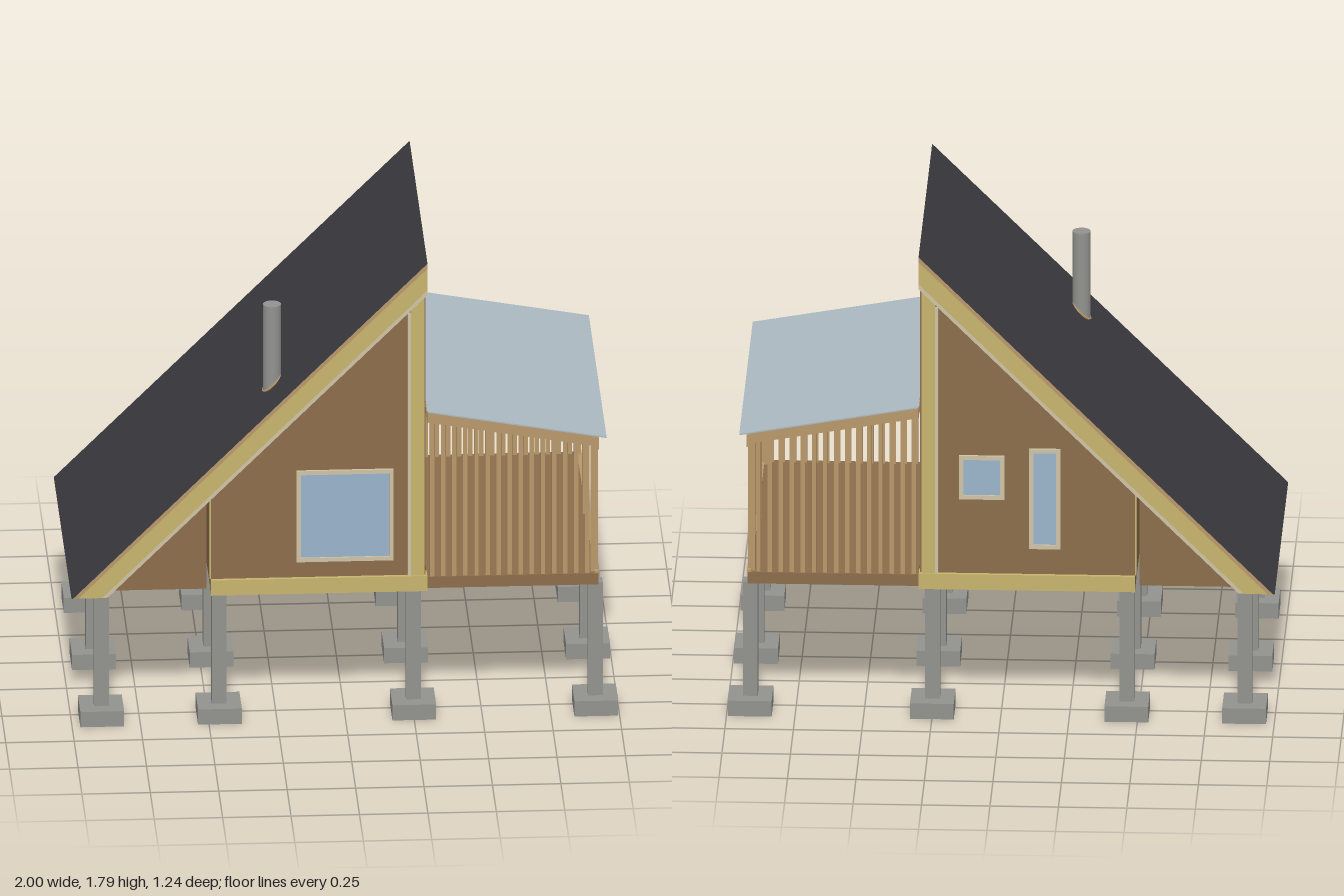
import * as THREE from 'three';

const mat = (name, color, side = THREE.FrontSide) => {
  const m = new THREE.MeshStandardMaterial({ color, side });
  m.name = name;
  return m;
};

export function createModel() {
  const house = new THREE.Group();
  house.name = 'stiltCabin';

  const cladding = mat('brown cladding', 0x8c6d4a);
  const timber = mat('yellow timber', 0xc8b46e);
  const wood = mat('tan wood', 0xb9986a);
  const concrete = mat('grey concrete', 0x92938f);
  const glass = mat('blue glass', 0x9ab5cc);
  const frame = mat('beige frame', 0xd0c4a6);
  const roofing = mat('dark roofing', 0x3b3a3f);
  const sheet = mat('pale roof sheet', 0xadbac1);

  const add = (name, geo, material, x = 0, y = 0, z = 0) => {
    const mesh = new THREE.Mesh(geo, material);
    mesh.name = name;
    mesh.position.set(x, y, z);
    house.add(mesh);
    return mesh;
  };
  // Box given by its lower and upper limits on each axis
  const box = (name, material, [x0, x1], [y0, y1], [z0, z1]) =>
    add(name, new THREE.BoxGeometry(x1 - x0, y1 - y0, z1 - z0), material,
      (x0 + x1) / 2, (y0 + y1) / 2, (z0 + z1) / 2);
  // Profile in x and y, extruded from z0 to z1
  const prism = (name, material, points, z0, z1) => {
    const shape = new THREE.Shape(points.map(([x, y]) => new THREE.Vector2(x, y)));
    return add(name, new THREE.ExtrudeGeometry(shape, { depth: z1 - z0, bevelEnabled: false }),
      material, 0, 0, z0);
  };

  const W = 0.575;        // half depth of the house
  const base = 0.49;      // underside of the floor
  const ridge = 0.3;      // x of the high wall
  const slope = (x, drop) => x + 1.49 - drop;   // 45 degree main roof

  // Concrete piers on square footings
  for (const x of [-0.89, -0.46, 0.25, 0.915]) {
    for (const z of [-0.54, 0, 0.54]) {
      box('footing', concrete, [x - 0.08, x + 0.08], [0, 0.06], [z - 0.08, z + 0.08]);
      box('pier', concrete, [x - 0.027, x + 0.027], [0.06, 0.505], [z - 0.027, z + 0.027]);
    }
  }

  // Main roof layers, cut level at the eave and plumb at the ridge
  const layer = (name, material, top, bottom, half) => prism(name, material, [
    [base - 1.49 + top, base], [base - 1.49 + bottom, base],
    [ridge, slope(ridge, bottom)], [ridge, slope(ridge, top)],
  ], -half, half);
  layer('roofCovering', roofing, 0, 0.006, W);
  layer('roofBattens', wood, 0.006, 0.026, W);
  layer('roofRafters', timber, 0.026, 0.112, W);
  layer('roofLining', frame, 0.112, 0.132, W - 0.003);

  // Enclosed house body
  prism('houseBody', cladding, [
    [-0.49, 0.5], [0.295, 0.5], [0.295, slope(0.295, 0.13)], [-0.49, slope(-0.49, 0.13)],
  ], -0.56, 0.56);
  box('floorUnderside', roofing, [-0.485, 0.295], [0.492, 0.502], [-0.555, 0.555]);

  // Low storage wedge under the eave
  prism('eaveStorage', cladding, [[-0.87, 0.5], [-0.505, 0.5], [-0.505, 0.842]], -0.53, 0.53);

  // Timber frame and railings on both gable sides
  const sheetY = (x) => 1.2 - 0.176 * (x - ridge);
  for (const s of [-1, 1]) {
    const span = (a, b) => (s > 0 ? [a, b] : [-b, -a]);
    box('floorBeam', timber, [-0.49, ridge], [base, 0.55], span(0.52, W));
    prism('gablePost', timber, [
      [0.24, 0.55], [0.29, 0.55], [0.29, slope(0.29, 0.132)], [0.24, slope(0.24, 0.132)],
    ], ...span(0.55, 0.57));
    box('gablePostEdge', frame, [0.229, 0.24], [0.55, slope(0.229, 0.132)], span(0.55, 0.567));
    box('wallEndPost', timber, [-0.494, -0.484], [0.55, 0.865], span(0.5, 0.558));

    prism('canopySideBeam', wood, [
      [ridge, sheetY(ridge) - 0.045], [0.925, sheetY(0.925) - 0.045],
      [0.925, sheetY(0.925) - 0.004], [ridge, sheetY(ridge) - 0.004],
    ], ...span(0.545, 0.572));
    for (let i = 0; i < 15; i++) {
      const x = 0.318 + i * 0.0405;
      box('baluster', wood, [x - 0.008, x + 0.008], [0.54, sheetY(x) - 0.04], span(0.555, 0.57));
    }
  }
  box('eastSill', timber, [0.28, ridge], [base, 0.505], [-W, W]);

  // Deck
  box('deckFloor', cladding, [ridge, 0.925], [0.502, 0.546], [-W, W]);
  box('deckEdgeStrip', wood, [0.91, 0.927], [0.546, 0.555], [-W, W]);
  for (const z of [-0.543, 0, 0.543]) {
    box('deckPost', wood, [0.898, 0.924], [0.51, 1.05], [z - 0.013, z + 0.013]);
  }

  // Deck canopy: sheet on rafters and cross battens
  prism('canopySheet', sheet, [
    [ridge, sheetY(ridge) - 0.005], [0.955, sheetY(0.955) - 0.005],
    [0.955, sheetY(0.955)], [ridge, sheetY(ridge)],
  ], -W, W);
  box('canopyFrontBeam', wood, [0.9, 0.928], [1.035, 1.083], [-W, W]);
  for (const z of [-0.275, 0, 0.275]) {
    prism('canopyRafter', wood, [
      [ridge, sheetY(ridge) - 0.04], [0.91, sheetY(0.91) - 0.04],
      [0.91, sheetY(0.91) - 0.005], [ridge, sheetY(ridge) - 0.005],
    ], z - 0.012, z + 0.012);
  }
  for (const x of [0.31, 0.51, 0.71]) {
    box('canopyBatten', wood, [x - 0.012, x + 0.012],
      [sheetY(x) - 0.035, sheetY(x) - 0.008], [-0.55, 0.55]);
  }

  // Window: four frame bars around a pane, facing +z before turning
  const addWindow = (name, w, h, x, y, z, turn) => {
    const g = new THREE.Group();
    g.name = name;
    const t = 0.016;
    const part = (label, material, pw, ph, px, py, d) => {
      const m = new THREE.Mesh(new THREE.BoxGeometry(pw, ph, d), material);
      m.name = label;
      m.position.set(px, py, d / 2);
      g.add(m);
    };
    part('pane', glass, w - 2 * t, h - 2 * t, 0, 0, 0.003);
    for (const s of [-1, 1]) {
      part('frameSide', frame, t, h, s * (w - t) / 2, 0, 0.009);
      part('frameRail', frame, w - 2 * t, t, 0, s * (h - t) / 2, 0.009);
    }
    g.position.set(x, y, z);
    g.rotation.y = turn;
    house.add(g);
  };
  addWindow('frontWindow', 0.355, 0.36, 0, 0.792, 0.56, 0);
  addWindow('backSmallWindow', 0.165, 0.17, 0.07, 0.925, -0.56, Math.PI);
  addWindow('backTallWindow', 0.115, 0.39, -0.16, 0.845, -0.56, Math.PI);
  addWindow('upperWindow', 0.19, 0.225, 0.295, 1.353, -0.242, Math.PI / 2);
  box('deckDoorGlass', glass, [0.294, 0.299], [0.555, 1.05], [-0.175, 0.26]);

  // Stove pipe with a collar where it leaves the roof
  add('stovePipe', new THREE.CylinderGeometry(0.033, 0.033, 0.445, 24), concrete, -0.255, 1.3225, 0.35);
  const collar = add('pipeCollar', new THREE.CylinderGeometry(0.047, 0.047, 0.008, 24), wood,
    -0.255, slope(-0.255, 0), 0.35);
  collar.rotation.z = Math.PI / 4;

  return house;
}
